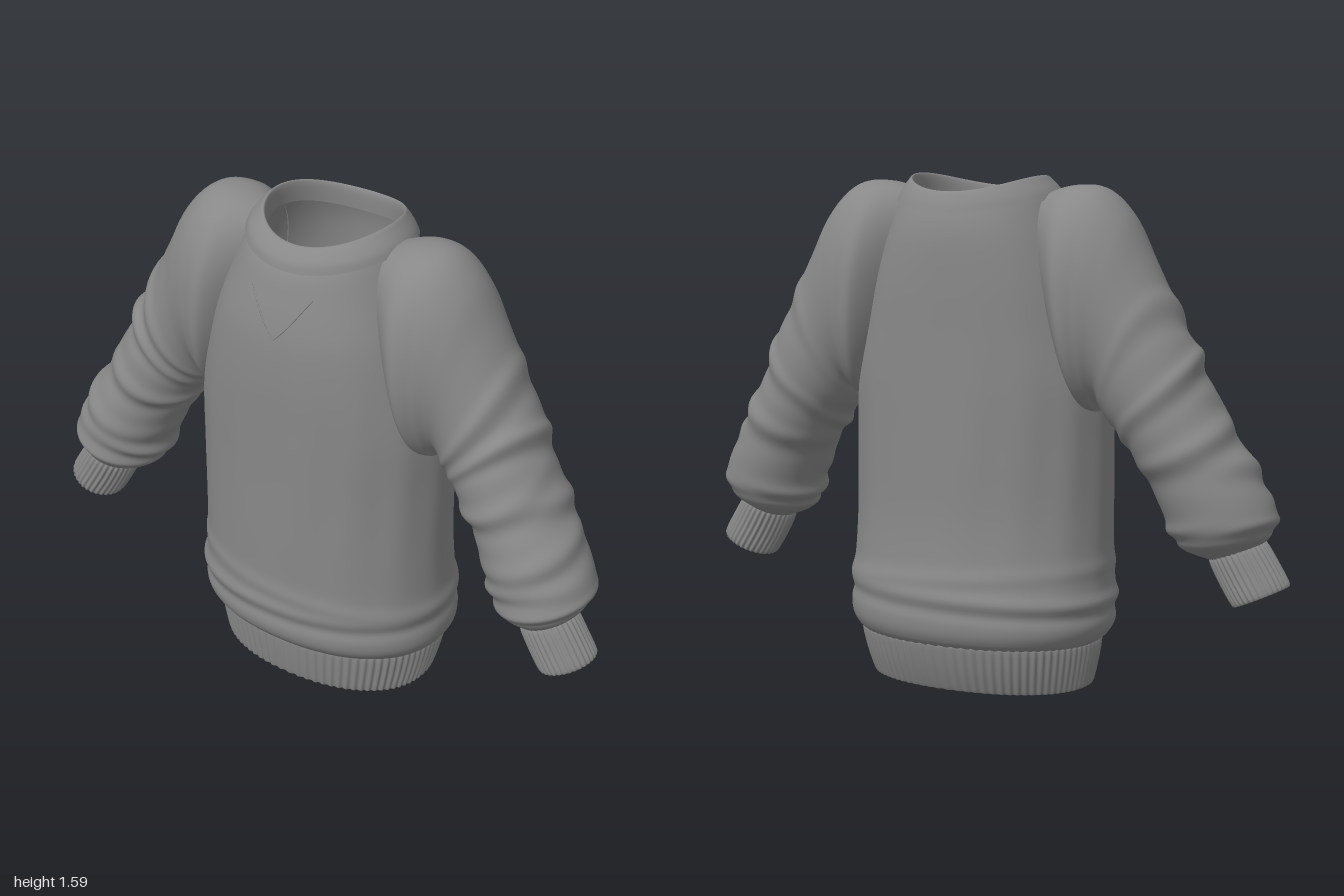
import * as THREE from 'three';

const greyCotton = new THREE.MeshStandardMaterial({ color: 0x888888, side: THREE.DoubleSide });
greyCotton.name = 'greyCotton';

// Smooth curve through the columns of a table, t from 0 to rows.length - 1
function sample(rows, t) {
  const i = Math.min(Math.floor(t), rows.length - 2), f = t - i;
  const row = (k) => rows[Math.max(0, Math.min(rows.length - 1, k))];
  return row(i).map((b, c) => {
    const a = row(i - 1)[c], d = row(i + 1)[c], e = row(i + 2)[c];
    return b + 0.5 * f * (d - a + f * (2 * a - 5 * b + 4 * d - e + f * (3 * (b - d) + e - a)));
  });
}

// Surface closed around its angle, open at both ends
function loft(name, around, along, tMax, point) {
  const pos = [], idx = [];
  for (let j = 0; j <= along; j++)
    for (let i = 0; i < around; i++) pos.push(...point((i / around) * Math.PI * 2, (j / along) * tMax));
  for (let j = 0; j < along; j++)
    for (let i = 0; i < around; i++) {
      const n = (i + 1) % around, a = j * around + i, b = j * around + n;
      idx.push(a, a + around, b, b, a + around, b + around);
    }
  const g = new THREE.BufferGeometry();
  g.setAttribute('position', new THREE.Float32BufferAttribute(pos, 3));
  g.setIndex(idx);
  g.computeVertexNormals();
  const mesh = new THREE.Mesh(g, greyCotton);
  mesh.name = name;
  return mesh;
}

const power = (v, n) => Math.sign(v) * Math.pow(Math.abs(v), 2 / n);
const bump = (d, w) => Math.exp(-(d * d) / (w * w));

// Horizontal sections: y, half width, front z, back z, squareness, lift at the sides
function sectionPoint(rows, a, t, swell = 0) {
  const [y, hx, zf, zb, n, lift] = sample(rows, t);
  const c = Math.cos(a), s = Math.sin(a);
  return [
    power(c, n) * (hx + swell),
    y + lift * c * c,
    (zf + zb) / 2 + power(s, n) * ((zf - zb) / 2 + swell),
  ];
}

const torsoRows = [
  [0.14, 0.385, 0.25, -0.275, 2.2, 0], [0.165, 0.415, 0.285, -0.3, 2.2, 0],
  [0.21, 0.435, 0.308, -0.314, 2.2, 0], [0.3, 0.433, 0.308, -0.312, 2.2, 0],
  [0.4, 0.425, 0.303, -0.295, 2.2, 0], [0.55, 0.42, 0.303, -0.282, 2.2, 0],
  [0.75, 0.418, 0.303, -0.28, 2.2, 0], [0.95, 0.412, 0.306, -0.28, 2.2, 0],
  [1.12, 0.38, 0.308, -0.28, 2.2, 0], [1.27, 0.34, 0.298, -0.28, 2.2, 0],
  [1.4, 0.295, 0.268, -0.275, 2.1, 0], [1.48, 0.25, 0.238, -0.257, 2.05, 0.03],
  [1.525, 0.214, 0.19, -0.232, 2, 0.045],
];

// Gathers above the hem and soft vertical drapes
function torsoPoint(a, t) {
  const y = sample(torsoRows, t)[0];
  const side = Math.cos(a);
  const gathers = 0.01 * bump(y - 0.3 - 0.015 * side, 0.022) * (0.6 - 0.4 * side)
    - 0.006 * bump(y - 0.26 - 0.015 * side, 0.02) + 0.005 * bump(y - 0.36 + 0.03 * side, 0.025);
  const drapes = 0.004 * Math.sin(9 * a + 2 * y) * Math.sin(5 * a + 1) * bump(y - 0.75, 0.35);
  return sectionPoint(torsoRows, a, t, gathers + drapes);
}

const collarRows = [
  [1.47, 0.207, 0.18, -0.225, 2, 0.045], [1.52, 0.206, 0.182, -0.224, 2, 0.045],
  [1.54, 0.212, 0.19, -0.23, 2, 0.045], [1.532, 0.23, 0.21, -0.24, 2, 0.035],
  [1.505, 0.252, 0.236, -0.254, 2, 0.035], [1.475, 0.264, 0.246, -0.264, 2, 0.04],
];

// Hem wall goes down the outside and back up the inside
const hemRows = [
  [0.155, 0.385, 0.25, -0.28, 2.2, 0], [0.14, 0.395, 0.257, -0.283, 2.2, 0],
  [0.07, 0.382, 0.25, -0.265, 2.2, 0], [0.006, 0.365, 0.24, -0.24, 2.2, 0],
  [0, 0.357, 0.233, -0.233, 2.2, 0], [0.01, 0.35, 0.226, -0.226, 2.2, 0],
  [0.15, 0.378, 0.24, -0.268, 2.2, 0],
];

// Sleeve sections: upper edge x y, lower edge x y, front z, back z
const sleeveRows = [
  [0.225, 1.53, 0.33, 0.97, 0.15, -0.15], [0.32, 1.557, 0.38, 0.88, 0.215, -0.23],
  [0.42, 1.55, 0.41, 0.87, 0.2, -0.22], [0.505, 1.475, 0.42, 0.88, 0.18, -0.205],
  [0.57, 1.355, 0.43, 0.89, 0.165, -0.195], [0.635, 1.23, 0.44, 0.87, 0.16, -0.19],
  [0.7, 1.11, 0.46, 0.84, 0.16, -0.185], [0.745, 1.01, 0.49, 0.81, 0.165, -0.18],
  [0.795, 0.9, 0.53, 0.75, 0.17, -0.17], [0.86, 0.79, 0.58, 0.67, 0.18, -0.155],
  [0.925, 0.68, 0.625, 0.57, 0.19, -0.14], [0.962, 0.59, 0.65, 0.5, 0.197, -0.125],
  [0.95, 0.53, 0.685, 0.465, 0.185, -0.1], [0.915, 0.49, 0.76, 0.435, 0.145, -0.03],
];

// Folds: place along the sleeve, slant, facing angle, height
const folds = [
  [5.1, 0.3, 0.6, 0.012], [6.6, -0.4, 0.2, 0.014], [7.6, 0.5, 2.2, 0.011],
  [8.4, -0.3, -0.8, 0.013], [9.4, 0.3, 0.9, 0.012], [10.5, -0.25, 2.6, 0.013], [11.3, 0.2, 0.2, 0.008],
];

function sleevePoint(rows, a, t, n, swell) {
  const [tx, ty, bx, by, zf, zb] = sample(rows, t);
  const hx = (tx - bx) / 2, hy = (ty - by) / 2, k = 1 + swell / Math.hypot(hx, hy);
  const c = power(Math.cos(a), n) * k;
  return [(tx + bx) / 2 + hx * c, (ty + by) / 2 + hy * c,
    (zf + zb) / 2 + power(Math.sin(a), n) * ((zf - zb) / 2 + swell)];
}

function foldSwell(a, t) {
  let s = 0;
  for (const [place, slant, facing, height] of folds) {
    const d = t - place - slant * Math.sin(a);
    s += height * (bump(d, 0.28) - 0.6 * bump(d - 0.5, 0.3)) * (0.5 + 0.5 * Math.cos(a - facing));
  }
  return s;
}

const cuffRows = [
  [0.905, 0.505, 0.765, 0.445, 0.135, -0.02], [0.925, 0.495, 0.757, 0.43, 0.15, -0.033],
  [0.965, 0.435, 0.79, 0.365, 0.152, -0.033], [0.998, 0.378, 0.831, 0.302, 0.152, -0.033],
  [0.99, 0.372, 0.84, 0.306, 0.143, -0.024], [0.95, 0.44, 0.8, 0.372, 0.14, -0.021],
  [0.91, 0.5, 0.77, 0.44, 0.138, -0.02],
];

// Thin raised stitching following the torso
function stitch(name, points) {
  const curve = new THREE.CatmullRomCurve3(points.map((p) => new THREE.Vector3(...p)));
  const mesh = new THREE.Mesh(new THREE.TubeGeometry(curve, 24, 0.003, 6), greyCotton);
  mesh.name = name;
  return mesh;
}

export function createModel() {
  const sweater = new THREE.Group();
  sweater.name = 'sweater';

  sweater.add(loft('torso', 160, 110, torsoRows.length - 1, torsoPoint));
  sweater.add(loft('collar', 96, 30, collarRows.length - 1, (a, t) => sectionPoint(collarRows, a, t)));
  sweater.add(loft('hemBand', 480, 24, hemRows.length - 1,
    (a, t) => sectionPoint(hemRows, a, t, 0.003 * Math.cos(80 * a))));

  for (const side of [1, -1]) {
    const mirror = ([x, y, z]) => [side * x, y, z];
    const label = side > 0 ? 'left' : 'right';
    sweater.add(loft(label + 'Sleeve', 72, 130, sleeveRows.length - 1, (a, t) =>
      mirror(sleevePoint(sleeveRows, a, t, t < 3 ? 2.25 - t / 12 : 2, foldSwell(a, t)))));
    sweater.add(loft(label + 'Cuff', 192, 20, cuffRows.length - 1, (a, t) =>
      mirror(sleevePoint(cuffRows, a, t, 2, 0.0025 * Math.cos(32 * a)))));

    // One arm of the stitched V below the collar
    const arm = [0, 0.25, 0.5, 0.75, 1].map((f) =>
      torsoPoint(Math.PI / 2 - side * 0.36 * f, 9 + 1.1 * f));
    sweater.add(stitch(label + 'NeckStitch', arm));
  }
  return sweater;
}
